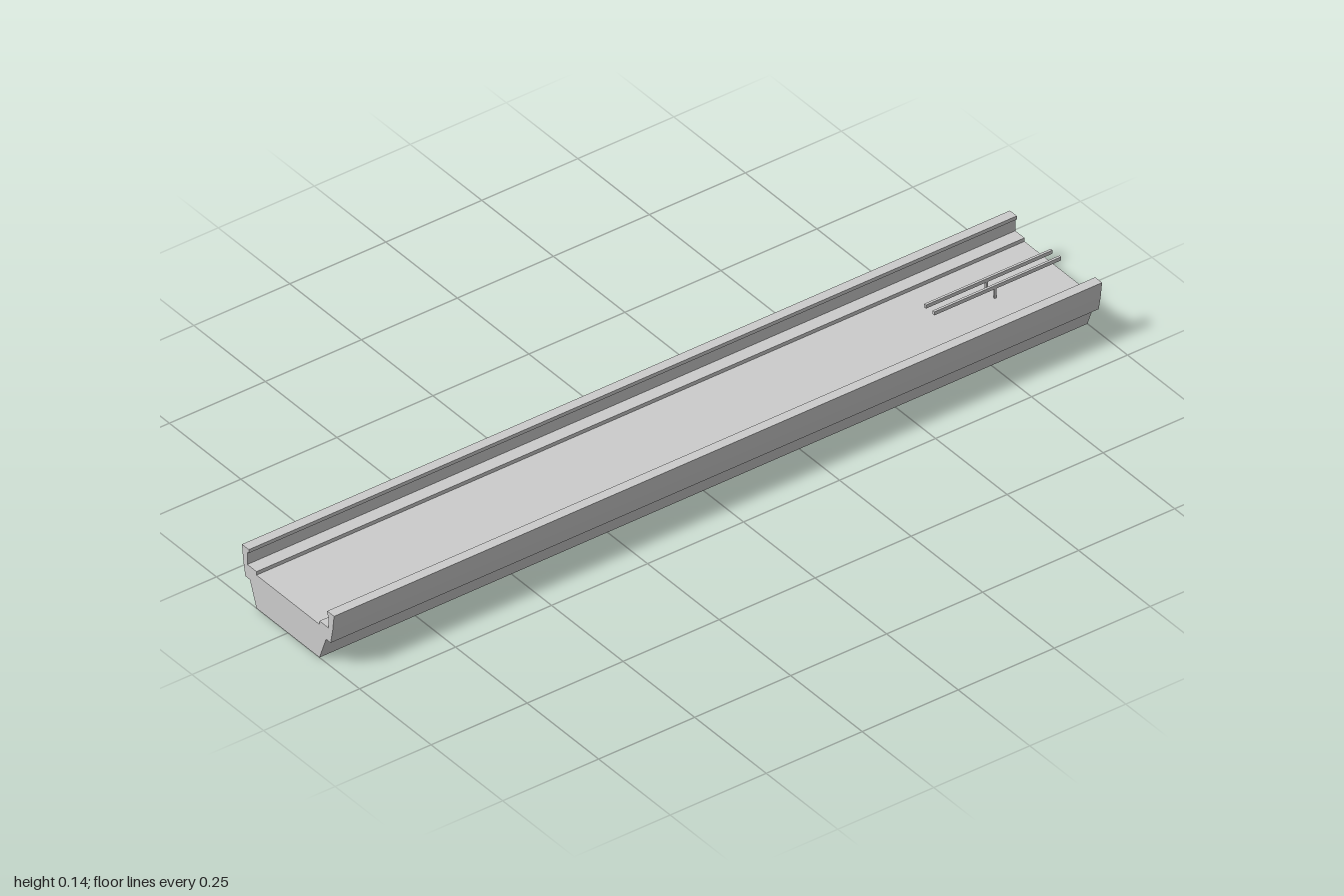
import * as THREE from 'three';

const HALF_LENGTH = 1;

// Right half of the cross-section, from the bottom corner up to the deck
const HALF_PROFILE = [
  [0.11, 0], [0.133, 0.06], [0.149, 0.06], [0.156, 0.095], [0.161, 0.135],
  [0.137, 0.135], [0.137, 0.126], [0.142, 0.126], [0.142, 0.094],
  [0.11, 0.094], [0.11, 0.085],
];

// Surface swept along z from a closed counter-clockwise profile, open at both ends
function sweepAlongZ(profile) {
  const positions = [];
  profile.forEach(([ax, ay], i) => {
    const [bx, by] = profile[(i + 1) % profile.length];
    const f = HALF_LENGTH, b = -HALF_LENGTH;
    positions.push(ax, ay, f, ax, ay, b, bx, by, b);
    positions.push(ax, ay, f, bx, by, b, bx, by, f);
  });
  const geometry = new THREE.BufferGeometry();
  geometry.setAttribute('position', new THREE.Float32BufferAttribute(positions, 3));
  geometry.computeVertexNormals();
  return geometry;
}

export function createModel() {
  const group = new THREE.Group();
  const material = new THREE.MeshStandardMaterial({
    color: 0xcccccc, flatShading: true, side: THREE.DoubleSide,
  });
  const add = (name, geometry, x = 0, y = 0, z = 0) => {
    const mesh = new THREE.Mesh(geometry, material);
    mesh.name = name;
    mesh.position.set(x, y, z);
    group.add(mesh);
  };

  // Hollow girder with deck, kerbs and parapets
  const mirrored = HALF_PROFILE.map(([x, y]) => [-x, y]).reverse();
  const profile = [...HALF_PROFILE, ...mirrored];
  add('girderShell', sweepAlongZ(profile));

  // Only the front end is closed
  const shape = new THREE.Shape(profile.map(([x, y]) => new THREE.Vector2(x, y)));
  add('frontEnd', new THREE.ShapeGeometry(shape), 0, 0, HALF_LENGTH);

  // Two central rails, each on one post
  for (const [side, s] of [['left', 1], ['right', -1]]) {
    add(side + 'Rail', new THREE.BoxGeometry(0.006, 0.009, 0.33), s * 0.015, 0.1145, -0.835);
    add(side + 'RailPost', new THREE.BoxGeometry(0.004, 0.026, 0.006), s * 0.015, 0.098, -0.83);
  }
  return group;
}
